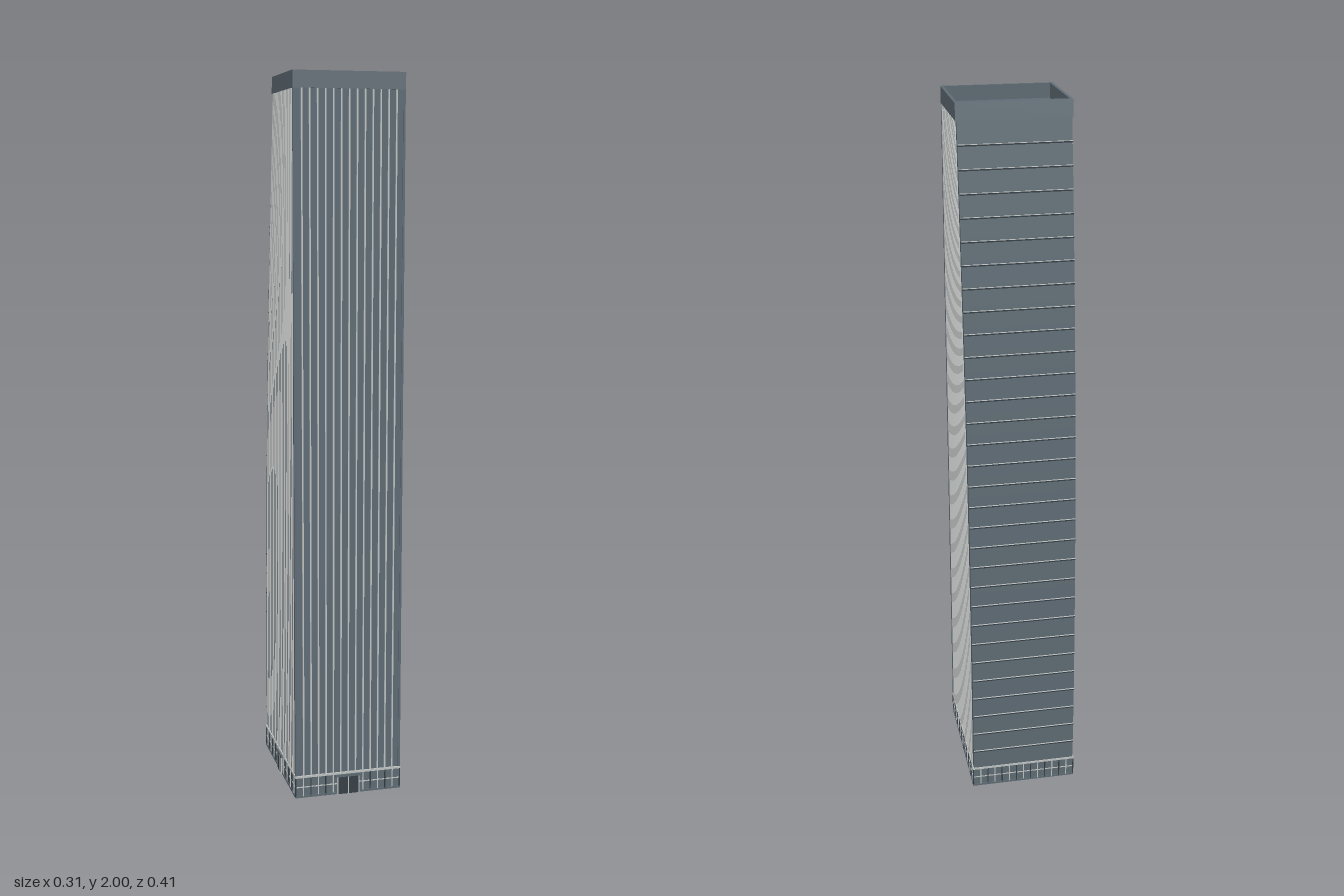
import * as THREE from 'three';

const HALF_W = 0.151, FRONT = 0.201, PODIUM = 0.062, CROWN = 1.955, TOP = 2;

// Depth of the rear wall, sweeping forward with height
const backZ = (y) => {
  const t = Math.max(0, (y - 0.08) / 1.92);
  return -0.203 + 0.157 * t * t;
};

export function createModel() {
  const mat = (name, color) => {
    const m = new THREE.MeshStandardMaterial({ color });
    m.name = name;
    return m;
  };
  const glass = mat('blue grey glass', 0x5f6c75);
  const dark = mat('dark glass', 0x38424a);
  const metal = mat('pale metal', 0xc2c6c4);
  const stone = mat('underside grey', 0x6c6c6c);

  const tower = new THREE.Group();
  tower.name = 'tower';
  const group = (name) => {
    const g = new THREE.Group();
    g.name = name;
    tower.add(g);
    return g;
  };
  const add = (parent, name, geo, material, x = 0, y = 0, z = 0) => {
    const m = new THREE.Mesh(geo, material);
    m.name = name;
    m.position.set(x, y, z);
    parent.add(m);
    return m;
  };
  const box = (parent, name, material, w, h, d, x, y, z) =>
    add(parent, name, new THREE.BoxGeometry(w, h, d), material, x, y, z);

  // Shaft: side profile extruded across the width
  const profile = new THREE.Shape();
  profile.moveTo(-FRONT, PODIUM);
  for (let i = 0; i <= 32; i++) {
    const y = PODIUM + ((CROWN - PODIUM) * i) / 32;
    profile.lineTo(-backZ(y), y);
  }
  profile.lineTo(-FRONT, CROWN);
  const shaft = new THREE.ExtrudeGeometry(profile, { depth: HALF_W * 2, bevelEnabled: false });
  shaft.translate(0, 0, -HALF_W);
  shaft.rotateY(Math.PI / 2);
  add(tower, 'shaft', shaft, glass);

  // Front fins, straight and evenly spaced
  const finH = CROWN - PODIUM, finY = (CROWN + PODIUM) / 2;
  const frontFins = group('frontFins');
  const BAYS = 14;
  for (let i = 1; i < BAYS; i++) {
    const x = -HALF_W + (2 * HALF_W * i) / BAYS;
    box(frontFins, 'frontFin', metal, 0.004, finH, 0.003, x, finY, FRONT + 0.0015);
  }

  // Side fins, fanned between the upright front and the curved back
  const SIDE_BAYS = 18;
  for (const side of [-1, 1]) {
    const fins = group(side > 0 ? 'leftFins' : 'rightFins');
    for (let i = 1; i < SIDE_BAYS; i++) {
      const geo = new THREE.BoxGeometry(0.003, finH, 0.004, 1, 24, 1);
      geo.translate(side * (HALF_W + 0.0015), finY, 0);
      const p = geo.attributes.position;
      for (let k = 0; k < p.count; k++) {
        const z = THREE.MathUtils.lerp(FRONT, backZ(p.getY(k)), i / SIDE_BAYS);
        p.setZ(k, p.getZ(k) + z);
      }
      geo.computeVertexNormals();
      add(fins, 'sideFin', geo, metal);
    }
  }

  // Corner strips on the front
  for (const side of [-1, 1]) {
    box(tower, 'frontCorner', glass, 0.006, finH, 0.006, side * 0.1505, finY, 0.2005);
  }

  // Floor bands across the curved rear wall
  const bands = group('rearFloorBands');
  const FLOORS = 31;
  for (let i = 1; i < FLOORS; i++) {
    const y = PODIUM + (finH * i) / FLOORS;
    box(bands, 'rearBand', dark, HALF_W * 2, 0.004, 0.004, 0, y, backZ(y) - 0.0005);
    box(bands, 'rearBandLip', metal, HALF_W * 2, 0.0012, 0.005, 0, y + 0.0024, backZ(y) - 0.0005);
  }

  // Crown parapet: a rectangular ring with a raked rear wall
  const W = 0.154, F = 0.204, B = -0.048, T = 0.008;
  const rect = (target, w, f, b) => {
    target.moveTo(-w, -f);
    target.lineTo(w, -f);
    target.lineTo(w, -b);
    target.lineTo(-w, -b);
    target.closePath();
    return target;
  };
  const ring = rect(new THREE.Shape(), W, F, B);
  ring.holes.push(rect(new THREE.Path(), W - T, F - T, B + T));
  const crown = new THREE.ExtrudeGeometry(ring, { depth: TOP - CROWN, bevelEnabled: false });
  crown.rotateX(-Math.PI / 2);
  crown.translate(0, CROWN, 0);
  const cp = crown.attributes.position;
  for (let k = 0; k < cp.count; k++) {
    if (cp.getZ(k) < 0) cp.setZ(k, cp.getZ(k) + backZ(cp.getY(k)) - backZ(TOP));
  }
  crown.computeVertexNormals();
  add(tower, 'crownParapet', crown, glass);
  box(tower, 'roofDeck', glass, 0.296, 0.006, 0.244, 0, CROWN + 0.002, 0.075);

  // Podium with a pale ledge, mid rail and mullions
  const podium = group('podium');
  box(podium, 'podiumWall', glass, 0.304, PODIUM, 0.404, 0, PODIUM / 2, 0);
  box(podium, 'podiumLedge', metal, 0.309, 0.006, 0.41, 0, PODIUM, 0);
  box(podium, 'podiumRail', metal, 0.306, 0.003, 0.406, 0, 0.031, 0);
  box(podium, 'podiumPlinth', glass, 0.308, 0.006, 0.408, 0, 0.003, 0);
  box(podium, 'underside', stone, 0.29, 0.002, 0.39, 0, 0.0005, 0);
  for (const side of [-1, 1]) {
    for (let i = 0; i <= BAYS; i++) {
      const x = -0.1525 + (0.305 * i) / BAYS;
      box(podium, 'podiumMullion', i % 2 ? metal : dark, 0.003, 0.056, 0.003, x, 0.031, side * 0.2025);
    }
    for (let i = 1; i < SIDE_BAYS; i++) {
      const z = -0.202 + (0.404 * i) / SIDE_BAYS;
      box(podium, 'podiumMullion', i % 2 ? metal : dark, 0.003, 0.056, 0.003, side * 0.1525, 0.031, z);
    }
  }

  // Entrances: dark doors beneath a small canopy
  const entrance = (name, width) => {
    const g = group(name);
    box(g, 'doorway', dark, width, 0.05, 0.004, 0, 0.025, 0.001);
    box(g, 'canopy', glass, width + 0.012, 0.008, 0.006, 0, 0.055, 0.0015);
    for (const x of [-0.5, 0, 0.5]) {
      box(g, 'doorPost', metal, 0.003, 0.05, 0.005, x * width, 0.025, 0.0015);
    }
    return g;
  };
  entrance('frontEntrance', 0.062).position.z = 0.2025;
  const sideDoor = entrance('sideEntrance', 0.046);
  sideDoor.rotation.y = -Math.PI / 2;
  sideDoor.position.x = -0.1535;

  return tower;
}
